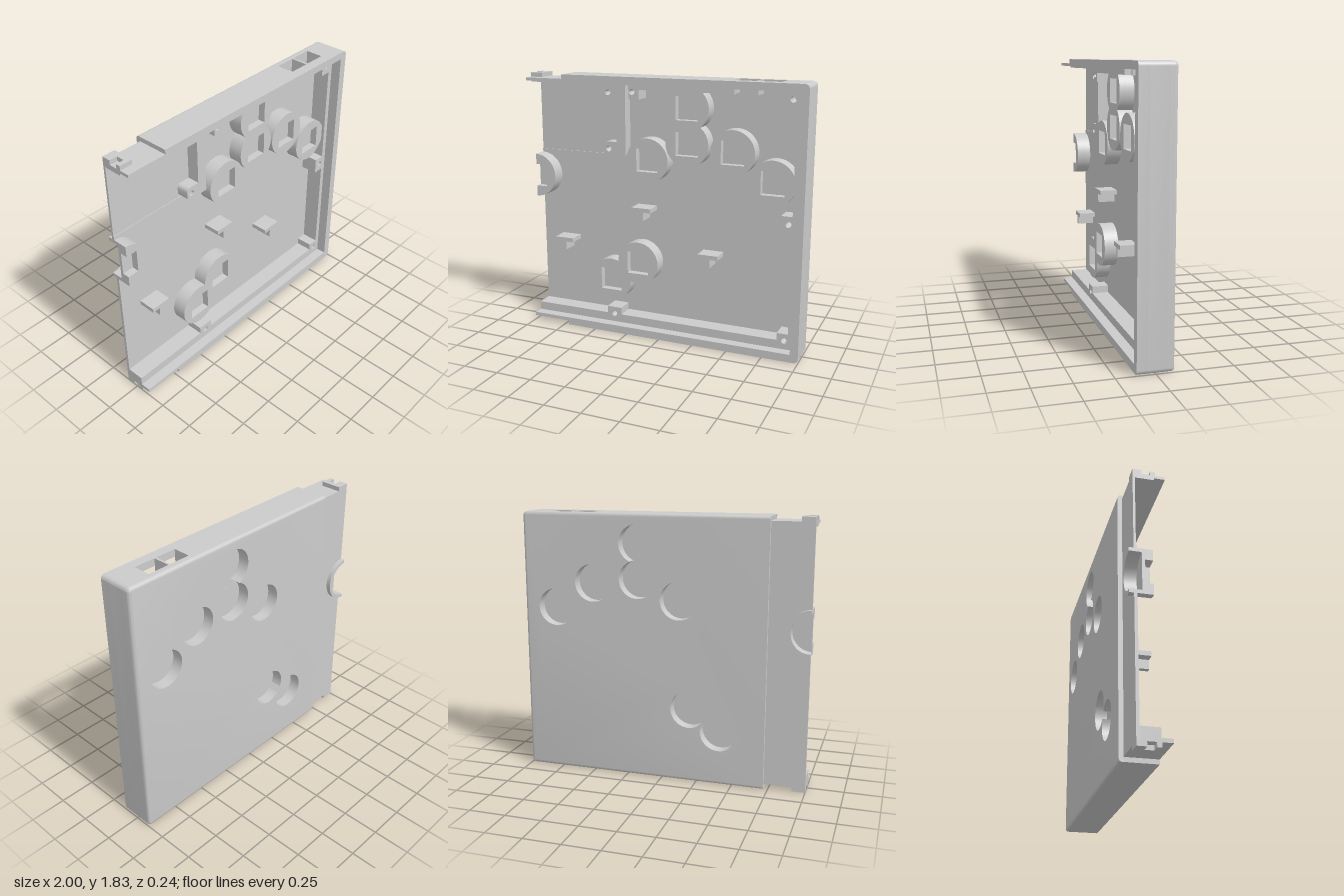
import * as THREE from 'three';
import { toCreasedNormals } from 'three/addons/utils/BufferGeometryUtils.js';

const material = new THREE.MeshStandardMaterial({ color: 0xcccccc });
const PI = Math.PI;

// Points along an arc
function arc(x, y, r, a0, a1, n = 24) {
  return Array.from({ length: n + 1 }, (_, i) => {
    const a = a0 + (a1 - a0) * i / n;
    return [x + r * Math.cos(a), y + r * Math.sin(a)];
  });
}
const circle = (x, y, r, n = 24) => arc(x, y, r, 0, 2 * PI, n).slice(0, n);
const rect = (x0, y0, x1, y1) => [[x0, y0], [x1, y0], [x1, y1], [x0, y1]];

// Outline of one circle, or the union of two overlapping circles
function blob(centres, r) {
  if (centres.length === 1) return circle(...centres[0], r, 48);
  const [[ax, ay], [bx, by]] = centres;
  const f = Math.atan2(by - ay, bx - ax);
  const t = Math.acos(Math.min(1, Math.hypot(bx - ax, by - ay) / 2 / r));
  return [
    ...arc(ax, ay, r, f + t, f + 2 * PI - t, 40).slice(0, -1),
    ...arc(bx, by, r, f + PI + t, f + 3 * PI - t, 40).slice(0, -1),
  ];
}

const toPoints = (pts) => pts.map(([x, y]) => new THREE.Vector2(x, y));

function slab(pts, holes, z0, z1, steps = 1) {
  const shape = new THREE.Shape(toPoints(pts));
  shape.holes = holes.map((h) => new THREE.Path(toPoints(h)));
  const geo = new THREE.ExtrudeGeometry(shape, { depth: z1 - z0, steps, bevelEnabled: false });
  return geo.translate(0, 0, z0);
}

export function createModel() {
  const model = new THREE.Group();
  const add = (name, geo) => {
    const mesh = new THREE.Mesh(toCreasedNormals(geo, 0.6), material);
    mesh.name = name;
    model.add(mesh);
    return mesh;
  };
  const layer = (name, pts, holes, z0, z1) => add(name, slab(pts, holes, z0, z1));

  const BACK = -0.12, LAP = -0.09, FLOOR = -0.07, LEDGE = 0.05, FRONT = 0.12;
  const R = 0.03;
  const lowRight = arc(0.97, R, R, -PI / 2, 0, 8);
  const highRight = arc(0.97, 1.8, R, 0, PI / 2, 8);
  const outer = [[-1, 0.03], [-0.72, 0.03], [-0.72, 0], ...lowRight, ...highRight,
    [-0.72, 1.83], [-0.72, 1.8], [-1, 1.8]];

  const bosses = [
    [[0.17, 1.63], [0.17, 1.39]],
    [[-0.12, 1.26]],
    [[0.49, 1.355]],
    [[0.765, 1.175]],
    [[-0.405, 0.37], [-0.195, 0.515]],
  ];
  const pockets = bosses.map((b) => blob(b, 0.13));

  // Back plate, its rear edge rounded by drawing the outline inward
  const back = slab([[-0.72, 0], ...lowRight, ...highRight, [-0.72, 1.83]], pockets, BACK, LAP, 6);
  const p = back.attributes.position, fillet = 0.02;
  for (let i = 0; i < p.count; i++) {
    const x = p.getX(i), y = p.getY(i);
    const d = Math.max(0, fillet - (p.getZ(i) - BACK));
    const k = 1 - (fillet - Math.sqrt(Math.max(0, fillet * fillet - d * d))) / R;
    const cx = Math.min(x, 0.97), cy = THREE.MathUtils.clamp(y, R, 1.8);
    p.setXY(i, cx + (x - cx) * k, cy + (y - cy) * k);
  }
  add('backPlate', back);

  // Floor, with a shallow board recess in its upper layer
  const notch = arc(-1, 1.09, 0.13, PI / 2, -PI / 2);
  layer('floor', [...outer, ...notch], pockets, LAP, -0.075);
  layer('floorSurface', [...outer.slice(0, -1), [-1, 1.8], [-1, 1.77], [-0.36, 1.77],
    [-0.36, 1.27], [-1, 1.27], ...notch], pockets, -0.075, FLOOR);

  // Inner walls with the screw posts; the top wall is parted by two windows
  const screw = (x, y) => circle(x, y, 0.02);
  layer('lowerAndSideWall', [
    [-1, 0.03], [-0.72, 0.03], [-0.72, 0], ...lowRight, ...highRight,
    [0.81, 1.83], [0.81, 1.74], [0.835, 1.74], [0.835, 1.67], [0.91, 1.67],
    [0.91, 0.975], [0.835, 0.975], [0.835, 0.865], [0.91, 0.865],
    [0.91, 0.165], [0.835, 0.165], [0.835, 0.115],
    [-0.32, 0.115], [-0.32, 0.165], [-0.43, 0.165], [-0.43, 0.115], [-1, 0.115],
  ], [screw(0.885, 1.725), screw(0.885, 0.92), screw(0.885, 0.115), screw(-0.375, 0.115)],
  FLOOR, LEDGE);
  layer('windowDivider', rect(0.645, 1.74, 0.66, 1.83), [], FLOOR, LEDGE);
  layer('topWall', [
    [0.5, 1.74], [0.5, 1.83], [-0.72, 1.83], [-0.72, 1.8], [-1, 1.8], [-1, 1.765],
    [-0.245, 1.765], [-0.245, 1.675], [-0.17, 1.675], [-0.17, 1.74],
  ], [screw(-0.22, 1.725)], FLOOR, LEDGE);

  // Front rim, set back from the ledge
  layer('frontRim', [...outer, [-1, 1.78], [0.945, 1.78], [0.945, 0.055], [-1, 0.055]],
    [], LEDGE, FRONT);

  // Round bosses: hollow from behind, square socket in front
  const half = 0.08;
  bosses.forEach((b, i) => {
    const edge = blob(b, 0.153);
    const squares = b.map(([x, y]) => rect(x - half, y - half, x + half, y + half));
    layer('bossSleeve', edge, [pockets[i]], FLOOR, -0.04);
    layer('bossWeb', edge, [], -0.04, -0.02);
    layer('bossSocket', edge, squares, -0.02, 0.03);
  });

  // Half boss on the open edge
  const halfEdge = arc(-1, 1.09, 0.155, -PI / 2, PI / 2, 32);
  layer('halfBossSleeve', [...halfEdge, ...notch], [], BACK, -0.04);
  layer('halfBossWeb', halfEdge, [], -0.04, -0.02);
  layer('halfBossSocket', [...halfEdge, [-1, 1.17], [-0.92, 1.17], [-0.92, 1.01], [-1, 1.01]],
    [], -0.02, 0.03);

  // Board bracket with two rounded screw lugs
  layer('boardBracket', [
    [-0.29, 1.28], [-0.29, 1.76], [-0.38, 1.765],
    ...arc(-0.43, 1.735, 0.03, PI / 2, PI, 6), ...arc(-0.43, 1.7, 0.03, PI, 1.5 * PI, 6),
    [-0.36, 1.67], [-0.36, 1.37],
    ...arc(-0.43, 1.34, 0.03, PI / 2, PI, 6), ...arc(-0.43, 1.31, 0.03, PI, 1.5 * PI, 6),
  ], [screw(-0.42, 1.71), screw(-0.42, 1.32)], -0.075, 0.01);

  // T-shaped supports
  for (const [x, y] of [[-0.775, 0.645], [-0.16, 0.925], [0.335, 0.645]]) {
    layer('teeSupport', [
      [x - 0.072, y], [x - 0.072, y - 0.03], [x - 0.016, y - 0.03], [x - 0.016, y - 0.09],
      [x + 0.016, y - 0.09], [x + 0.016, y - 0.03], [x + 0.072, y - 0.03], [x + 0.072, y],
    ], [], FLOOR, LEDGE);
  }

  // Slotted clips on the lap, top and bottom
  const clip = [[-1, 0.09], [-1, 0.03], [-0.945, 0.03], [-0.945, -0.025],
    [-1, -0.025], [-1, -0.055], [-0.91, -0.055], [-0.91, 0.09]];
  for (const y of [0, 1.8]) {
    add('clip', slab(clip, [], 0, 0.03).rotateX(-PI / 2).translate(0, y, 0));
  }
  return model;
}
